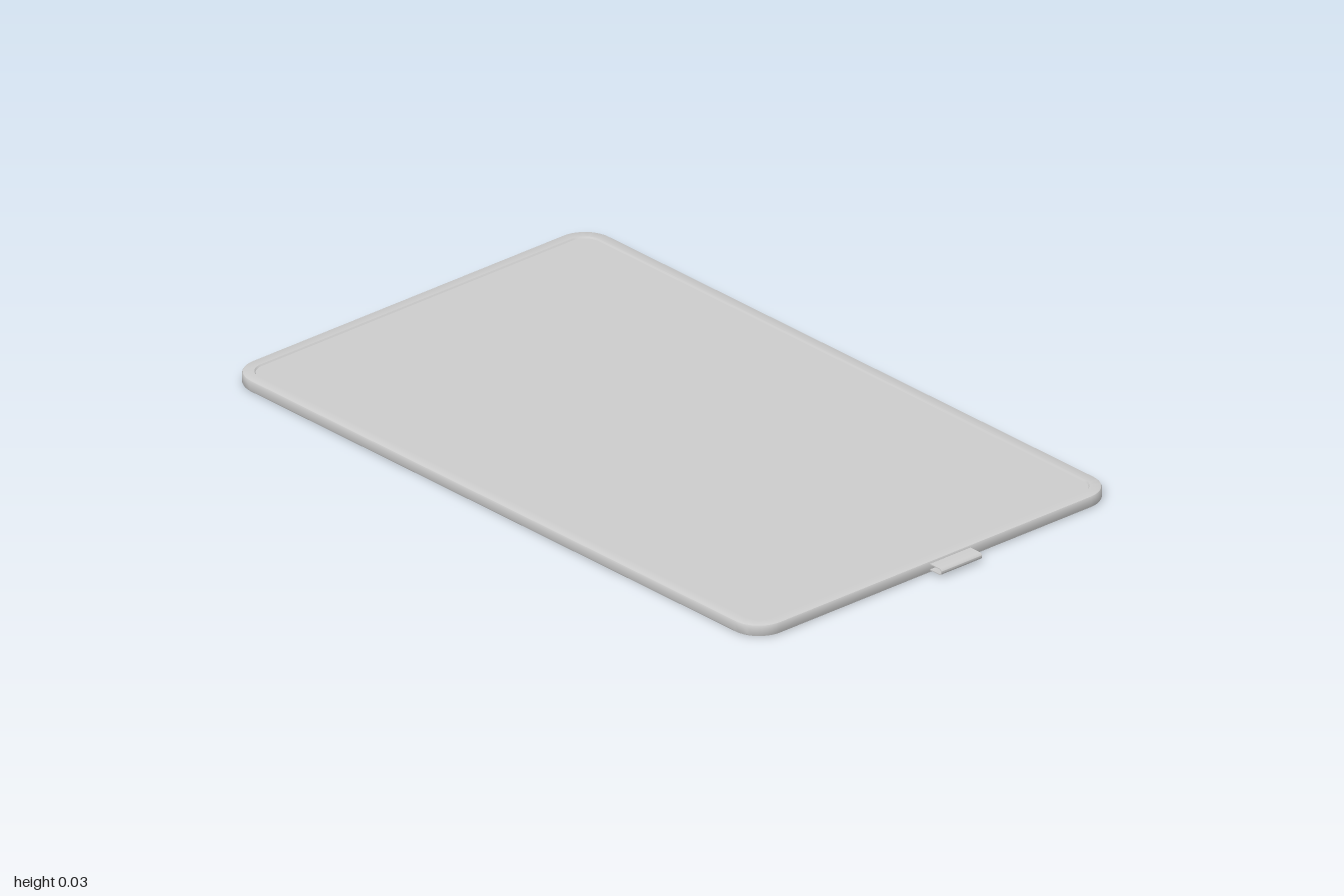
import * as THREE from 'three';
import { toCreasedNormals } from 'three/addons/utils/BufferGeometryUtils.js';

const CX = -0.0215, HALF_X = 0.9785, HALF_Z = 0.6, RADIUS = 0.08, SEG = 10;

// Rounded-rectangle ring of points, inset from the body outline at height y
function ring(inset, y) {
  const r = Math.max(RADIUS - inset, 0.01), pts = [];
  for (let c = 0; c < 4; c++) {
    const sx = c === 0 || c === 3 ? 1 : -1, sz = c < 2 ? 1 : -1;
    for (let i = 0; i <= SEG; i++) {
      const a = (c + i / SEG) * Math.PI / 2;
      pts.push([CX + sx * (HALF_X - inset - r) + r * Math.cos(a), y,
        sz * (HALF_Z - inset - r) + r * Math.sin(a)]);
    }
  }
  return pts;
}

// Skin between successive [inset, y] rings, with optional flat caps
function loft(profile, capStart, capEnd) {
  const rings = profile.map(([inset, y]) => ring(inset, y)), pos = [];
  const tri = (...p) => p.forEach((v) => pos.push(...v));
  const n = rings[0].length, last = rings.length - 1;
  for (let i = 0; i < n; i++) {
    const j = (i + 1) % n;
    for (let k = 0; k < last; k++) {
      const a = rings[k], b = rings[k + 1];
      tri(a[i], b[i], b[j]);
      tri(a[i], b[j], a[j]);
    }
    if (capStart) tri([CX, profile[0][1], 0], rings[0][i], rings[0][j]);
    if (capEnd) tri([CX, profile[last][1], 0], rings[last][j], rings[last][i]);
  }
  const g = new THREE.BufferGeometry();
  g.setAttribute('position', new THREE.Float32BufferAttribute(pos, 3));
  return toCreasedNormals(g, 0.6);
}

export function createModel() {
  const group = new THREE.Group();
  const material = new THREE.MeshStandardMaterial({ color: 0xcccccc });
  const add = (name, geometry, mat = material) => {
    const mesh = new THREE.Mesh(geometry, mat);
    mesh.name = name;
    group.add(mesh);
    return mesh;
  };

  // Shell: flat back, softly rounded rim, bezel and the step down to the screen
  add('shell', loft([
    [0.006, 0], [0.002, 0.002], [0, 0.006],
    [0, 0.027], [0.002, 0.031], [0.006, 0.033],
    [0.031, 0.033], [0.034, 0.029],
  ], true, false));

  // Slightly recessed screen panel
  add('screen', loft([[0.034, 0.029], [0.036, 0.029]], false, true));

  // Flattened pen loop on the side, open at both ends
  const x0 = 0.955, x1 = 1, yMid = 0.017, h = 0.009, t = 0.0025;
  const outline = (target, d) => {
    const hh = h - d;
    target.moveTo(x0, yMid - hh);
    target.lineTo(x1 - h, yMid - hh);
    target.absarc(x1 - h, yMid, hh, -Math.PI / 2, Math.PI / 2, false);
    target.lineTo(x0, yMid + hh);
    target.closePath();
    return target;
  };
  const loopShape = outline(new THREE.Shape(), 0);
  loopShape.holes.push(outline(new THREE.Path(), t));
  const loop = new THREE.ExtrudeGeometry(loopShape, { depth: 0.135, bevelEnabled: false, curveSegments: 12 });
  loop.translate(0, 0, -0.115);
  add('penLoop', toCreasedNormals(loop, 0.6),
    new THREE.MeshStandardMaterial({ color: 0xcccccc, side: THREE.DoubleSide }));

  return group;
}
